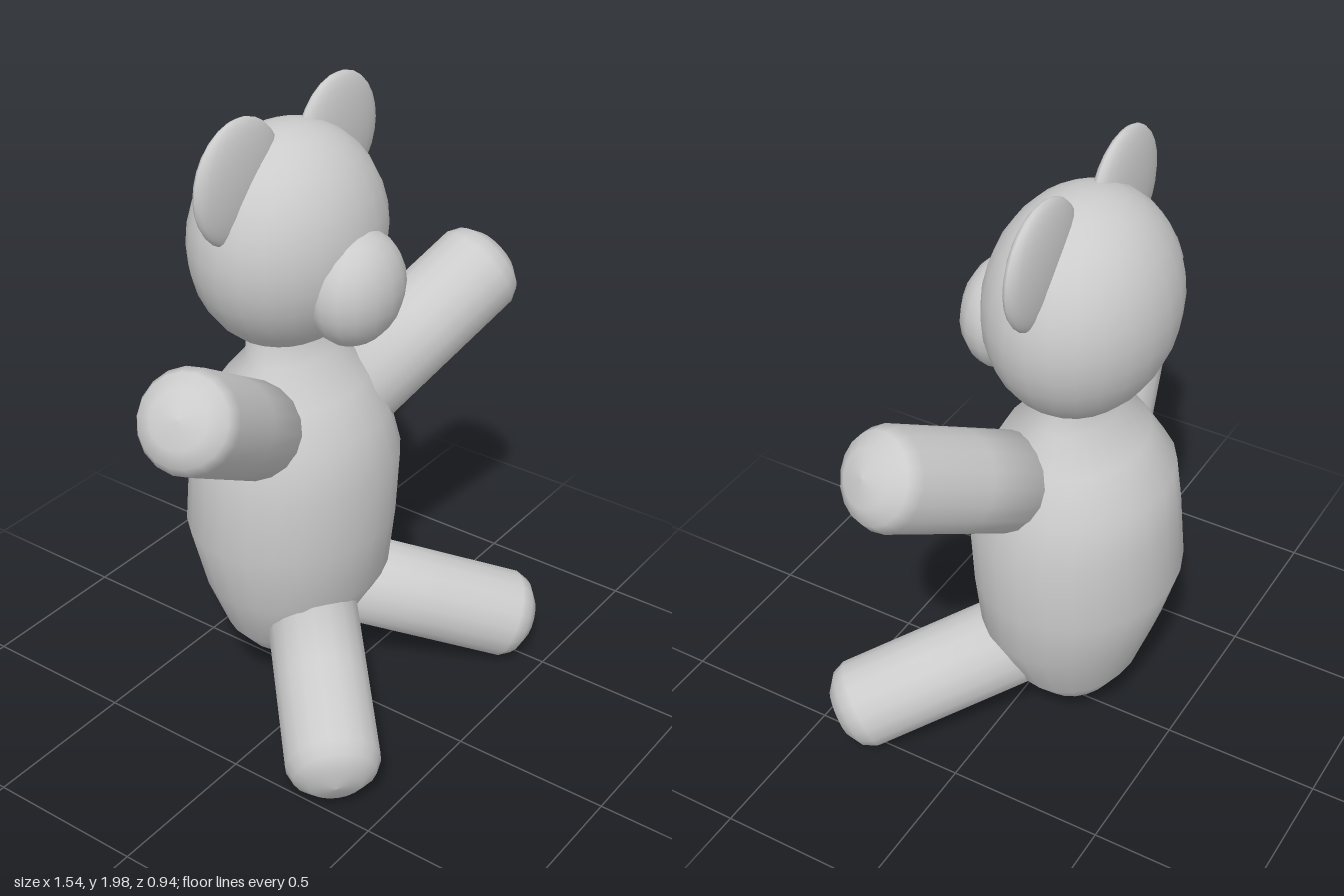
import * as THREE from 'three';

const material = new THREE.MeshStandardMaterial({ color: 0xcccccc });
const CX = 0.015; // midline of body and head

function add(group, name, geometry) {
  const mesh = new THREE.Mesh(geometry, material);
  mesh.name = name;
  group.add(mesh);
  return mesh;
}

function ellipsoid(group, name, centre, radii, w = 20, h = 14) {
  const mesh = add(group, name, new THREE.SphereGeometry(1, w, h));
  mesh.position.set(...centre);
  mesh.scale.set(...radii);
  return mesh;
}

// Torso lofted through elliptical rings: [y, half width, front z, back z]
function torsoGeometry() {
  const rings = [
    [0.15, 0.0, -0.18, -0.18],
    [0.15, 0.09, -0.1, -0.27],
    [0.18, 0.16, -0.05, -0.3],
    [0.27, 0.24, 0.03, -0.36],
    [0.45, 0.32, 0.13, -0.425],
    [0.64, 0.355, 0.148, -0.48],
    [0.85, 0.355, 0.16, -0.46],
    [1.0, 0.32, 0.125, -0.445],
    [1.12, 0.255, 0.06, -0.36],
    [1.22, 0.18, -0.03, -0.275],
    [1.32, 0.165, -0.06, -0.265],
    [1.4, 0.16, -0.06, -0.26],
  ];
  const sides = 24;
  const positions = [], index = [];
  for (const [y, rx, front, back] of rings) {
    for (let j = 0; j < sides; j++) {
      const a = (j / sides) * Math.PI * 2;
      positions.push(CX + rx * Math.sin(a), y, (front + back) / 2 + ((front - back) / 2) * Math.cos(a));
    }
  }
  for (let i = 0; i < rings.length - 1; i++) {
    for (let j = 0; j < sides; j++) {
      const a = i * sides + j, b = i * sides + ((j + 1) % sides);
      index.push(a, b, b + sides, a, b + sides, a + sides);
    }
  }
  const geometry = new THREE.BufferGeometry();
  geometry.setAttribute('position', new THREE.Float32BufferAttribute(positions, 3));
  geometry.setIndex(index);
  geometry.computeVertexNormals();
  return geometry;
}

// Straight round limb with a blunt domed end, from inside the torso to the tip
function limb(group, name, start, end, radius) {
  const from = new THREE.Vector3(...start);
  const axis = new THREE.Vector3(...end).sub(from);
  const length = axis.length();
  const profile = [
    [0, 0], [radius, 0], [radius, length * 0.5], [radius, length],
    [radius * 0.87, length + 0.042], [radius * 0.55, length + 0.075], [0, length + 0.088],
  ].map(([x, y]) => new THREE.Vector2(x, y));
  const mesh = add(group, name, new THREE.LatheGeometry(profile, 18));
  mesh.position.copy(from);
  mesh.quaternion.setFromUnitVectors(new THREE.Vector3(0, 1, 0), axis.normalize());
}

export function createModel() {
  const bear = new THREE.Group();
  bear.name = 'teddyBear';

  add(bear, 'torso', torsoGeometry());

  // Head, muzzle and flat round ears
  ellipsoid(bear, 'head', [CX, 1.58, -0.167], [0.335, 0.34, 0.27], 24, 16);
  ellipsoid(bear, 'muzzle', [0.02, 1.472, 0.07], [0.175, 0.174, 0.13], 16, 12);
  for (const side of [1, -1]) {
    const name = side > 0 ? 'leftEar' : 'rightEar';
    ellipsoid(bear, name, [CX + side * 0.23, 1.815, -0.163], [0.187, 0.185, 0.044]);
  }

  // Arms raised outwards, legs spread forwards in a sitting pose
  limb(bear, 'leftArm', [0.2, 1.02, -0.07], [0.66, 1.29, 0.083], 0.15);
  limb(bear, 'rightArm', [-0.2, 1.03, -0.125], [-0.66, 1.325, 0.01], 0.15);
  limb(bear, 'leftLeg', [0.15, 0.35, -0.035], [0.5, 0.16, 0.345], 0.145);
  limb(bear, 'rightLeg', [-0.08, 0.36, -0.02], [-0.45, 0.165, 0.335], 0.145);

  return bear;
}
